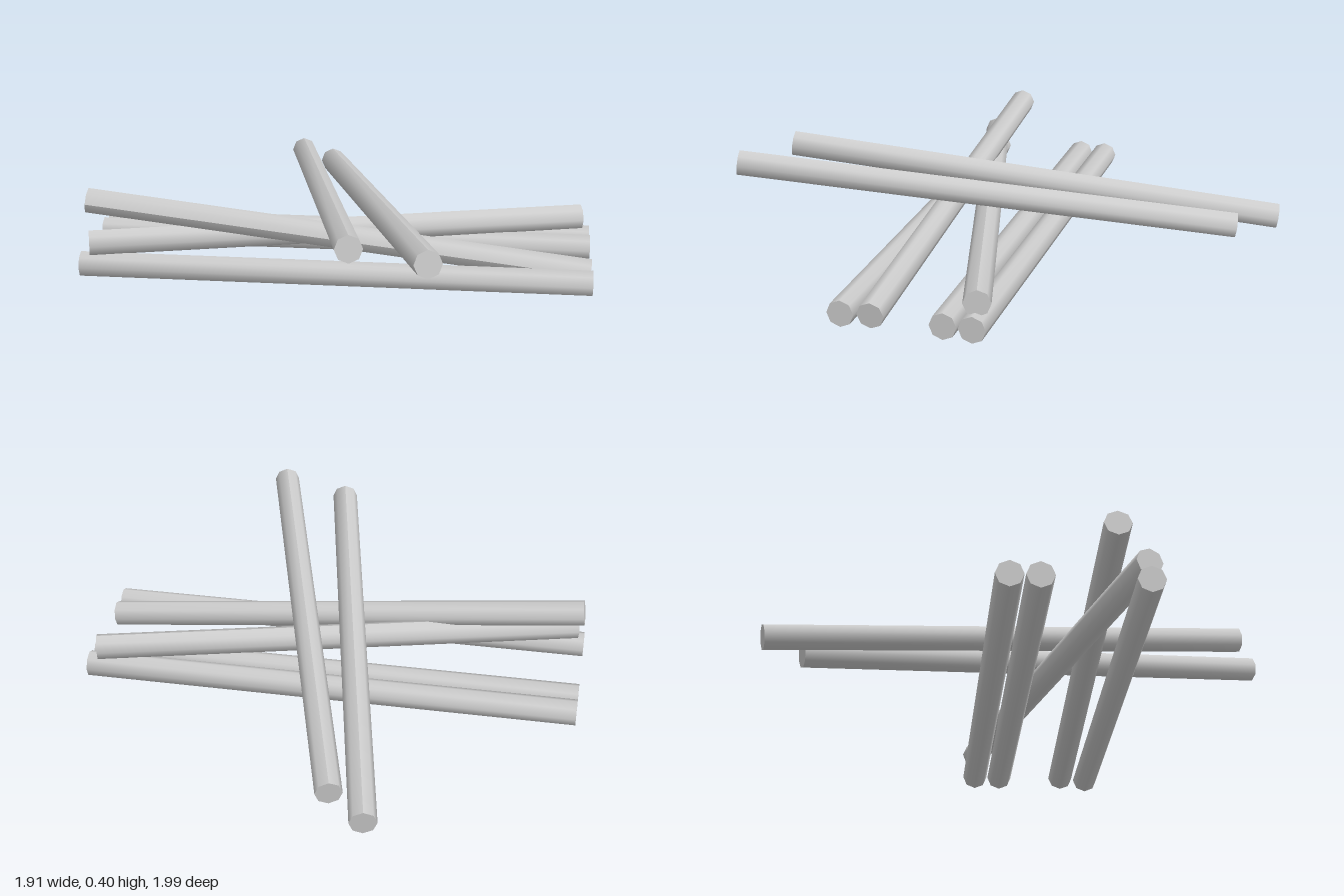
import * as THREE from 'three';

const RADIUS = 0.05;
const SIDES = 8;

// A straight log between two points; its seam is turned towards the given direction
function makeLog(name, start, end, seam, material) {
  const a = new THREE.Vector3(...start);
  const b = new THREE.Vector3(...end);
  const geometry = new THREE.CylinderGeometry(RADIUS, RADIUS, a.distanceTo(b), SIDES);
  geometry.computeVertexNormals();

  const yAxis = b.clone().sub(a).normalize();
  const zAxis = new THREE.Vector3(...seam).projectOnPlane(yAxis).normalize();
  const xAxis = new THREE.Vector3().crossVectors(yAxis, zAxis);

  const log = new THREE.Mesh(geometry, material);
  log.name = name;
  log.quaternion.setFromRotationMatrix(new THREE.Matrix4().makeBasis(xAxis, yAxis, zAxis));
  log.position.copy(a).add(b).multiplyScalar(0.5);
  return log;
}

export function createModel() {
  const group = new THREE.Group();
  group.name = 'logPile';
  const material = new THREE.MeshStandardMaterial({ color: 0xcccccc });
  const up = [0, 1, 0], down = [0, -1, 0], front = [0, 0, 1];

  const logs = [
    // Logs lying flat on the ground
    ['groundLogFront', [-0.957, 0.05, 0.35], [0.957, 0.05, 0.35], down],
    ['groundLogMiddle', [-0.957, 0.05, -0.025], [0.957, 0.05, -0.025], down],
    ['groundLogBack', [-0.957, 0.05, -0.13], [0.957, 0.05, -0.13], down],
    // Log with one end raised
    ['slopedLog', [-0.95, 0.265, 0.241], [0.95, 0.053, 0.241], front],
    // Level log laid diagonally over the ground logs
    ['diagonalLog', [-0.924, 0.134, 0.35], [0.92, 0.134, -0.137], up],
    // Two logs thrown across the top
    ['crossLogRight', [-0.278, 0.102, -0.986], [0.109, 0.35, 0.872], up],
    ['crossLogLeft', [-0.133, 0.102, -0.846], [0.384, 0.35, 0.983], up],
  ];
  for (const [name, start, end, seam] of logs) {
    group.add(makeLog(name, start, end, seam, material));
  }
  return group;
}
